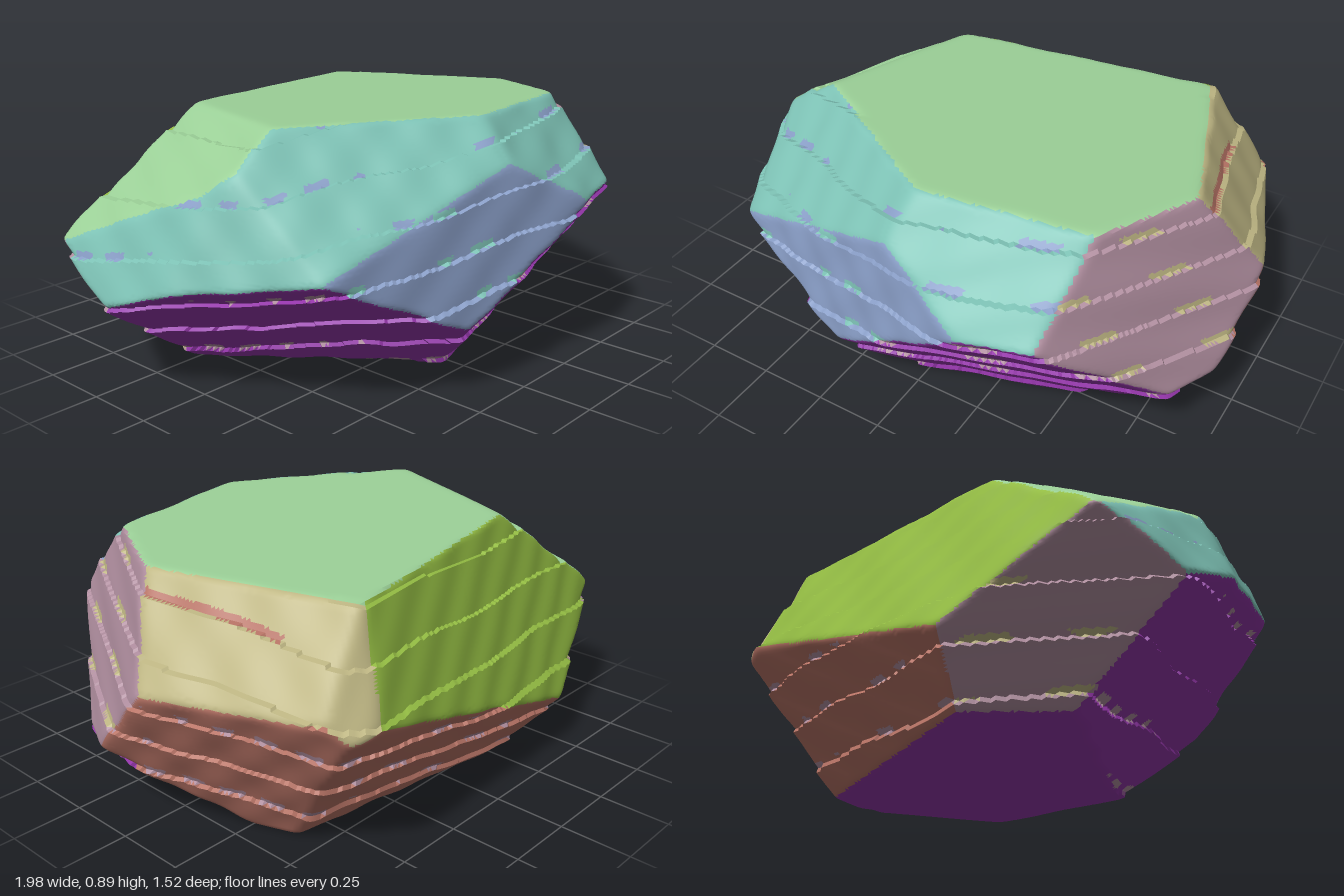
import * as THREE from 'three';
import { toCreasedNormals } from 'three/addons/utils/BufferGeometryUtils.js';

const COLORS = {
  paleGreen: 0x9cd198, lime: 0x94bd43, tan: 0xbfb784, brick: 0xb87466,
  pink: 0xb18fa0, purple: 0x9436aa, teal: 0x7ec3b6, blue: 0x8a9fc8,
};

// Cleavage planes: nx, ny, nz, distance (n . p <= distance), colour
const PLANES = [
  [0.02, 1, -0.03, 0.871, 'paleGreen'],     // flat top
  [-1, 1.5, -0.38, 1.84, 'paleGreen'],      // top falling to the -x end
  [-0.18, 0.41, -1, 0.865, 'lime'],         // upper back
  [1, 0.83, -0.37, 1.493, 'tan'],           // upper +x back bevel
  [0.4, 0.52, -0.92, 1.229, 'tan'],         // back corner of that bevel
  [1, -0.5, -0.4, 0.785, 'brick'],          // lower +x side
  [0.14, -0.7, -1, 0.495, 'brick'],         // lower back
  [1, 0.35, 0.5, 1.135, 'pink'],            // +x front side
  [-1, -1.17, -0.81, 0.78, 'pink'],         // underside of the -x end
  [0.2, 1, 1, 1.41, 'teal'],                // upper front
  [-0.6, 1.15, 1, 1.51, 'teal'],            // upper front towards -x
  [-1, 0.45, 0.05, 1.135, 'teal'],          // -x end
  [-1, 0.45, 0.45, 1.165, 'teal'],          // -x end towards the front
  [-0.25, 0.15, 1, 0.765, 'blue'],          // steep front
  [0.32, -0.8, 1, 0.415, 'purple'],         // lower front
  [-1.3, -2, 1, 0.47, 'purple'],            // lower front towards -x
  [1, -1.8, 0.4, 0.58, 'purple'],           // lower +x bevel
  [0, -1, 0, 0, 'purple'],                  // flat base
].map(([x, y, z, d, color]) => {
  const n = new THREE.Vector3(x, y, z), len = n.length();
  return { n: n.divideScalar(len), d: d / len, color };
});

// Colour of the broken patches along the ledges of each colour of face
const PATCHES = { tan: 'brick', brick: 'pink', pink: 'tan', purple: 'pink', teal: 'blue', blue: 'teal' };

const CENTER = new THREE.Vector3(0, 0.44, 0);

// Height in layers; the layers are thin and slightly tilted
const layer = (p) => (p.y - 0.08 * p.x - 0.13 * p.z - 0.12
  + 0.007 * Math.sin(p.x * 9 + p.z * 7)) / 0.15;

const fraction = (h) => h - Math.floor(h);
const isSloping = (plane) => Math.abs(plane.n.y) < 0.9;

// Sawtooth step at each layer, with a little roughness
function ledge(p) {
  const rough = 0.004 * Math.sin(p.x * 23 + p.z * 19) * Math.sin(p.y * 21 + p.x * 5);
  return 0.014 * (fraction(layer(p)) - 0.5) + rough;
}

// Distance along a ray to the slightly rounded plane hull, and the plane it meets
function cast(dir, hit) {
  let sum = 0, nearest = Infinity, plane = null;
  for (const q of PLANES) {
    const facing = q.n.dot(dir);
    if (facing <= 1e-4) continue;
    const step = hit && isSloping(q) ? ledge(hit) : 0;
    const t = (q.d - q.n.dot(CENTER) + step) / facing;
    sum += Math.pow(t, -100);
    if (t < nearest) { nearest = t; plane = q; }
  }
  return { point: CENTER.clone().addScaledVector(dir, Math.pow(sum, -1 / 100)), plane };
}

const surfacePoint = (dir) => cast(dir, cast(dir).point).point;

// Face colour, or the patch colour on short stretches of a ledge
function colorAt(dir) {
  const { point: p, plane } = cast(dir);
  const patch = PATCHES[plane.color];
  if (!patch || !isSloping(plane) || fraction(layer(p)) > 0.15) return plane.color;
  const broken = plane.color === 'tan'
    ? p.y > 0.68 && p.z > -0.45
    : Math.sin(p.x * 31 + p.z * 37) + Math.sin(p.x * 13 - p.z * 11 + p.y * 9) > 0.65;
  return broken ? patch : plane.color;
}

function buildRock() {
  const sphere = new THREE.IcosahedronGeometry(1, 70).getAttribute('position');
  const buckets = Object.fromEntries(Object.keys(COLORS).map((k) => [k, []]));
  // Directions are flattened so the samples spread evenly over the slab
  const direction = (i) => new THREE.Vector3().fromBufferAttribute(sphere, i)
    .multiply(new THREE.Vector3(1, 0.52, 0.78)).normalize();

  for (let i = 0; i < sphere.count; i += 3) {
    const dirs = [direction(i), direction(i + 1), direction(i + 2)];
    const mid = dirs[0].clone().add(dirs[1]).add(dirs[2]).normalize();
    const bucket = buckets[colorAt(mid)];
    for (const d of dirs) bucket.push(...surfacePoint(d).toArray());
  }

  // One geometry with a group for each colour
  const geo = new THREE.BufferGeometry();
  const positions = Object.values(buckets).flat();
  geo.setAttribute('position', new THREE.Float32BufferAttribute(positions, 3));
  const creased = toCreasedNormals(geo, 0.5);
  let start = 0;
  Object.values(buckets).forEach((b, k) => {
    creased.addGroup(start, b.length / 3, k);
    start += b.length / 3;
  });
  return creased;
}

export function createModel() {
  const materials = Object.entries(COLORS).map(([name, color]) => {
    const m = new THREE.MeshStandardMaterial({ color });
    m.name = name;
    return m;
  });
  const rock = new THREE.Mesh(buildRock(), materials);
  rock.name = 'rock';
  const group = new THREE.Group();
  group.name = 'facetedRock';
  group.add(rock);
  return group;
}
